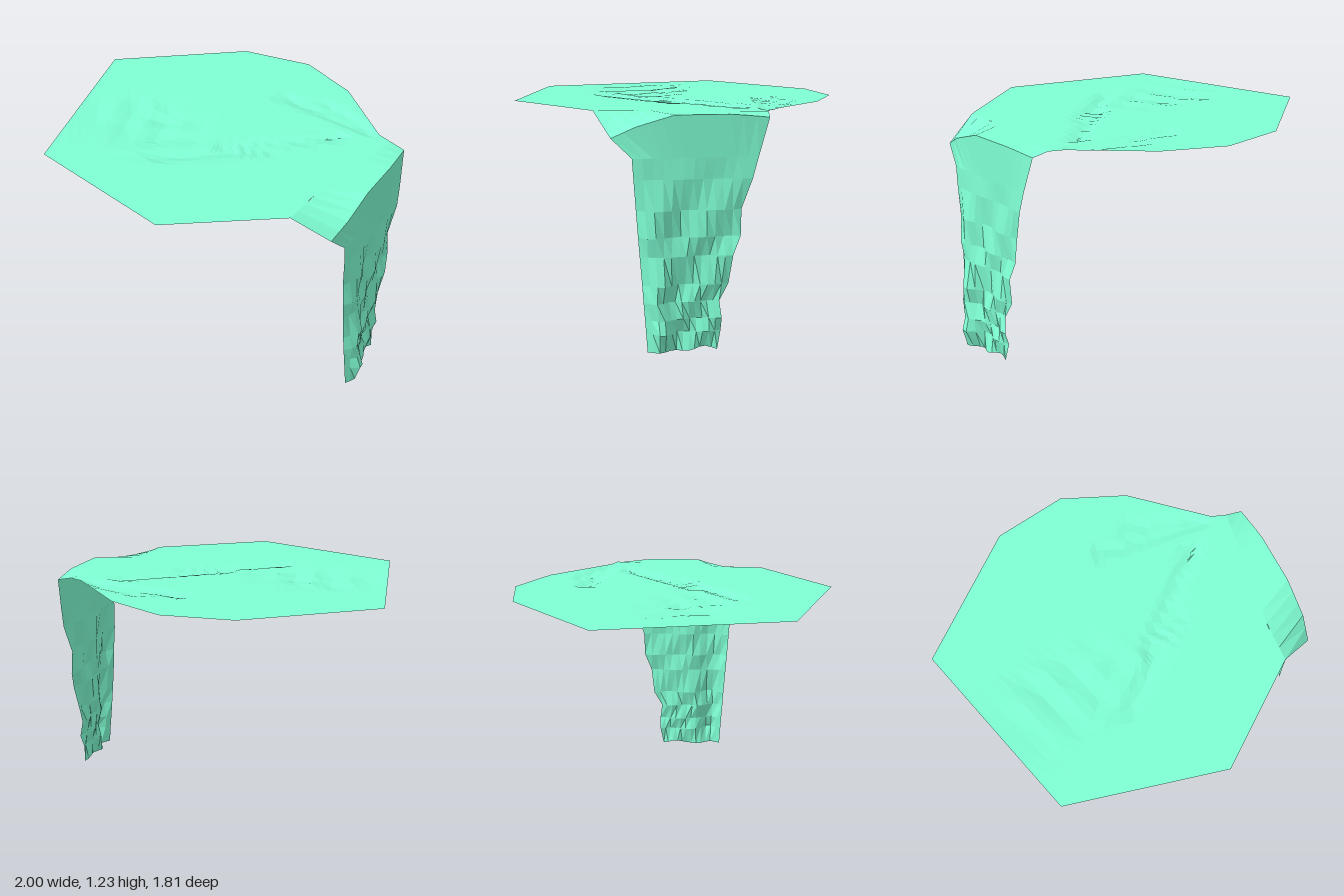
import * as THREE from 'three';

const TOP = 1.23;
const V = (x, y, z) => new THREE.Vector3(x, y, z);

// Flat-shaded sheet through rows of points
function sheet(rows, name, material) {
  const pos = [];
  const n = rows[0].length;
  const tri = (a, b, c) => {
    for (const p of [a, b, c]) pos.push(p.x, p.y, p.z);
  };
  for (let j = 0; j < rows.length - 1; j++) {
    for (let i = 0; i < n - 1; i++) {
      const a = rows[j][i], b = rows[j][i + 1], c = rows[j + 1][i], d = rows[j + 1][i + 1];
      tri(a, b, d);
      tri(a, d, c);
    }
  }
  const geo = new THREE.BufferGeometry();
  geo.setAttribute('position', new THREE.Float32BufferAttribute(pos, 3));
  geo.computeVertexNormals();
  const mesh = new THREE.Mesh(geo, material);
  mesh.name = name;
  return mesh;
}

// Evenly spread n + 1 points along a polyline
function resample(points, n) {
  const path = new THREE.CurvePath();
  for (let i = 0; i < points.length - 1; i++) path.add(new THREE.LineCurve3(points[i], points[i + 1]));
  return Array.from({ length: n + 1 }, (_, i) => path.getPoint(i / n));
}

// Distance from (x, z) to a segment in plan
function segmentDistance(x, z, [ax, az, bx, bz]) {
  const dx = bx - ax, dz = bz - az;
  const t = THREE.MathUtils.clamp(((x - ax) * dx + (z - az) * dz) / (dx * dx + dz * dz), 0, 1);
  return Math.hypot(x - ax - t * dx, z - az - t * dz);
}

// Creases in the flat part: ax, az, bx, bz
const creases = [
  [0.05, 0.12, 0.55, -0.3],
  [0.08, -0.51, 0.68, -0.43],
  [-0.2, 0.38, 0.3, 0.0],
  [0.3, -0.57, 0.65, -0.45],
];

// Shallow dips: creases plus a crumpled patch towards the far end
function relief(x, z) {
  let dip = 0;
  for (const c of creases) dip = Math.max(dip, 0.016 * (1 - segmentDistance(x, z, c) / 0.06));
  const patch = Math.exp(-(((x + 0.45) / 0.32) ** 2) - ((z - 0.14) / 0.2) ** 2);
  const crumple = 0.5 + 0.5 * Math.sin(23 * x + 9 * z) * Math.cos(19 * z - 6 * x);
  return TOP - dip - 0.026 * patch * crumple;
}

export function createModel() {
  const group = new THREE.Group();
  group.name = 'drapedCloth';
  const material = new THREE.MeshStandardMaterial({
    color: 0x7fffd4, flatShading: true, side: THREE.DoubleSide,
  });

  // Flat top of the cloth: rings shrinking from the outline to the centre
  const outline = [
    [-1, -0.36], [-0.74, 0.68], [0.13, 0.9], [0.68, 0.5], [0.69, 0.29], [0.81, -0.4],
    [0.73, -0.43], [0.37, -0.76], [0.03, -0.91], [-0.37, -0.855], [-1, -0.36],
  ];
  const rim = [];
  for (let i = 0; i < outline.length - 1; i++) {
    const [ax, az] = outline[i], [bx, bz] = outline[i + 1];
    for (let k = 0; k < 6; k++) rim.push([ax + (bx - ax) * k / 6, az + (bz - az) * k / 6]);
  }
  rim.push(outline[0]);
  const rings = 16, cx = -0.05, cz = 0;
  const topRows = [];
  for (let r = 0; r <= rings; r++) {
    const s = r / rings;
    topRows.push(rim.map(([x, z]) => {
      const px = cx + (x - cx) * s, pz = cz + (z - cz) * s;
      return V(px, r === rings ? TOP : relief(px, pz), pz);
    }));
  }
  // rows run outwards, so flip them to face up
  group.add(sheet(topRows.reverse(), 'clothTop', material));

  // Fold over the edge, widening into a sagging corner at the front
  const columns = 12;
  const inner = resample([V(0.81, TOP, -0.4), V(0.69, TOP, 0.29), V(0.68, TOP, 0.5)], columns);
  const edge = resample([
    V(0.9, 1.21, -0.39), V(0.92, TOP, -0.2), V(0.92, TOP, 0.1),
    V(0.91, 1.17, 0.3), V(0.88, 1.11, 0.425),
  ], columns);
  inner[columns] = V(0.68, TOP, 0.5);
  edge[columns] = V(0.88, 1.11, 0.425);
  group.add(sheet([edge, inner], 'fold', material));
  const corner = [
    [V(0.68, TOP, 0.5), V(0.8, 1.165, 0.445)],
    [V(0.68, TOP, 0.5), V(0.88, 1.11, 0.425)],
  ];
  group.add(sheet(corner, 'cornerHem', material));

  // Hanging part: y, back z, front z, front hem x, ridge x
  const levels = [
    [1.01, -0.33, 0.32, 0.91, 0.92],
    [0.9, -0.3, 0.312, 0.91, 0.93],
    [0.74, -0.245, 0.3, 0.905, 0.94],
    [0.6, -0.24, 0.29, 0.91, 0.95],
    [0.5, -0.2, 0.282, 0.91, 0.96],
    [0.35, -0.18, 0.27, 0.915, 0.975],
    [0.26, -0.13, 0.264, 0.92, 0.975],
    [0.17, -0.142, 0.257, 0.925, 1.0],
    [0.1, -0.14, 0.252, 0.93, 1.0],
    [0, -0.12, 0.245, 0.935, 0.97],
  ];
  const rows = levels.map(([y, back, front, hem, ridge], j) => {
    const row = [];
    for (let i = 0; i <= columns; i++) {
      const u = i / columns;
      const z = back + (front - back) * u;
      const wave = 0.014 * Math.sin(5.3 * i + 2.1 * j) * Math.min(1, j / 2);
      const bulge = (ridge - 0.92) * Math.max(0, 1 - Math.abs(u - 0.8) / 0.2);
      const x = i === columns ? hem : 0.92 + wave + bulge;
      // small notch in the bottom hem
      const lift = y === 0 ? 0.02 * Math.max(0, 1 - Math.abs(u - 0.2) / 0.2) : 0;
      row.push(V(x, y + lift, z));
    }
    return row;
  });
  // front end runs to the left when seen from outside, so reverse each row
  group.add(sheet([...rows].reverse().concat([edge]), 'hangingDrape', material));

  return group;
}
